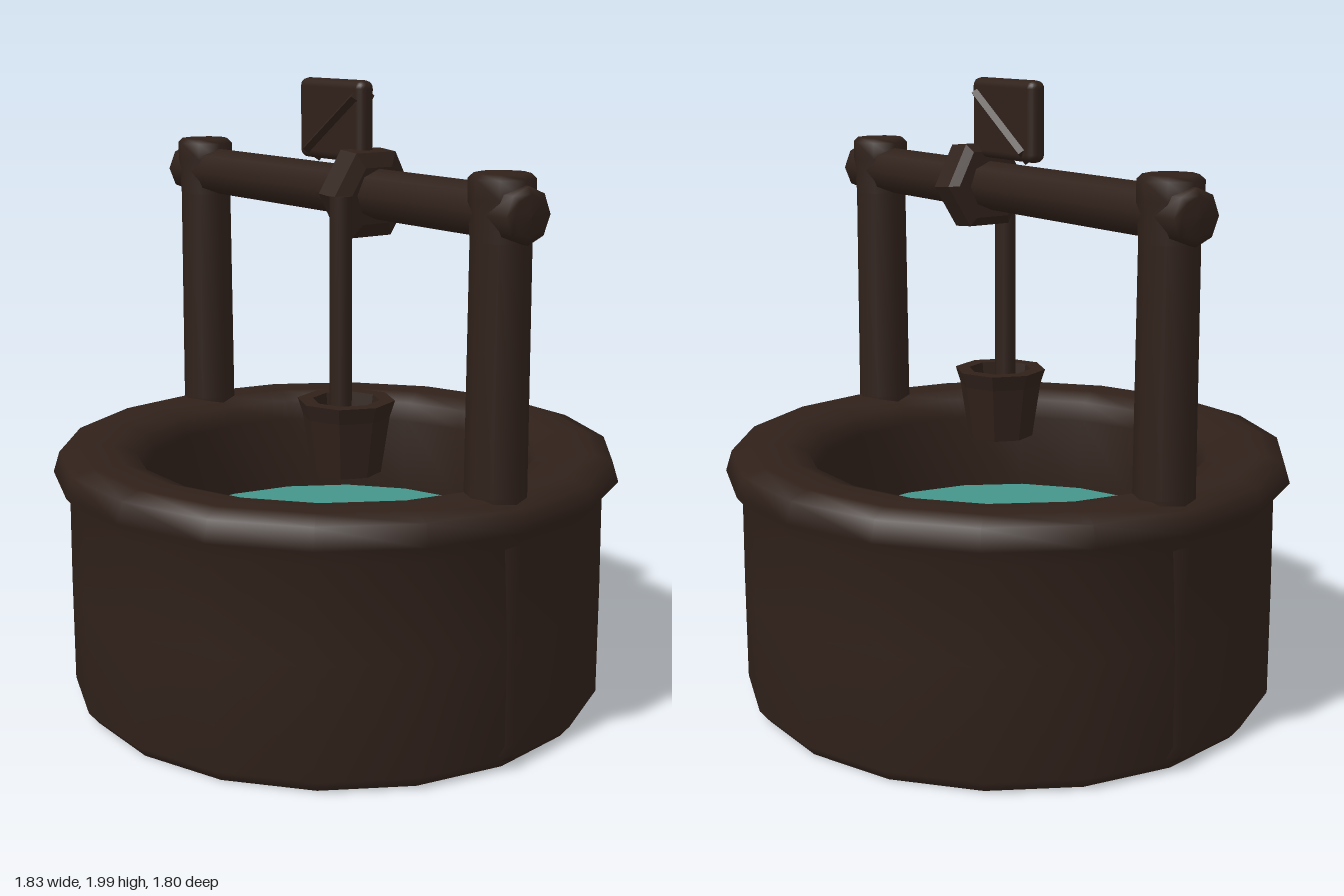
import * as THREE from 'three';
import { RoundedBoxGeometry } from 'three/addons/geometries/RoundedBoxGeometry.js';

const wood = new THREE.MeshStandardMaterial({ color: 0x30211a });
const facetedWood = new THREE.MeshStandardMaterial({ color: 0x30211a, flatShading: true });
const lining = new THREE.MeshStandardMaterial({ color: 0xdcc49c, side: THREE.DoubleSide });
const bucketFloorMat = new THREE.MeshStandardMaterial({ color: 0xa8784a, side: THREE.DoubleSide });
const waterMat = new THREE.MeshStandardMaterial({ color: 0x44958b, side: THREE.DoubleSide });

const SIDES = 18;
const toPoints = (list) => list.map(([r, y]) => new THREE.Vector2(r, y));
const turned = (list, sides, start = 0) => new THREE.LatheGeometry(toPoints(list), sides, start);

function add(parent, name, geometry, material, x = 0, y = 0, z = 0) {
  const mesh = new THREE.Mesh(geometry, material);
  mesh.name = name;
  mesh.position.set(x, y, z);
  parent.add(mesh);
  return mesh;
}

export function createModel() {
  const model = new THREE.Group();
  model.name = 'well';

  // Ring wall: outer skin, bulging rim and inner shaft
  add(model, 'ringWall', turned([
    [0.835, 0.01], [0.868, 0.05], [0.868, 0.4], [0.865, 0.7],
    [0.915, 0.76], [0.895, 0.825], [0.83, 0.845], [0.73, 0.845],
    [0.655, 0.82], [0.625, 0.76], [0.625, 0.5], [0.645, 0.18],
  ], SIDES, Math.PI / SIDES), wood);

  // Pale lining of the hollow between shaft and outer skin, open below
  add(model, 'wallLining', turned([
    [0.645, 0.18], [0.635, 0.5], [0.64, 0.74], [0.85, 0.74], [0.86, 0.4], [0.86, 0.05], [0.835, 0.01],
  ], SIDES, Math.PI / SIDES), lining);

  // Water surface
  const water = new THREE.CircleGeometry(0.628, SIDES).rotateX(-Math.PI / 2);
  add(model, 'water', water, waterMat, 0, 0.505, 0);

  // Two posts, running down through the wall to a slightly flared foot
  const post = turned([
    [0, 0.04], [0.085, 0.04], [0.097, 0.06], [0.092, 0.09], [0.092, 0.85],
    [0.088, 1.58], [0.096, 1.7], [0.096, 1.755], [0.08, 1.77], [0, 1.77],
  ], 8);
  for (const side of [1, -1]) {
    add(model, side > 0 ? 'leftPost' : 'rightPost', post, wood, side * 0.78, 0, 0);
  }

  // Cross beam with blunt ends
  const beam = turned([
    [0, -0.905], [0.06, -0.9], [0.082, -0.89], [0.082, -0.8], [0.078, -0.7],
    [0.078, 0.7], [0.082, 0.8], [0.082, 0.89], [0.06, 0.9], [0, 0.905],
  ], 8).rotateZ(Math.PI / 2);
  add(model, 'crossBeam', beam, wood, 0, 1.66, 0);

  // Six-sided chamfered collar the rope is wound on
  const collar = turned([
    [0, -0.06], [0.1, -0.06], [0.15, -0.04], [0.15, 0.04], [0.12, 0.06], [0, 0.06],
  ], 6).rotateZ(Math.PI / 2 - 0.08);
  add(model, 'ropeCollar', collar, facetedWood, 0.155, 1.66, 0);

  // Plate on top of the beam with a diagonal ridge
  const plate = new THREE.Group();
  plate.name = 'topPlate';
  plate.position.set(0, 1.875, 0);
  add(plate, 'plateBoard', new RoundedBoxGeometry(0.33, 0.25, 0.06, 2, 0.025), wood);
  const ridge = new THREE.CylinderGeometry(0.045, 0.045, 0.31, 4);
  add(plate, 'plateRidge', ridge, facetedWood, 0.01, -0.01, 0).rotation.z = -0.97;
  model.add(plate);

  // Rope
  const rope = new THREE.CylinderGeometry(0.035, 0.035, 0.8, 8);
  add(model, 'rope', rope, wood, 0.19, 1.26, 0.122);

  // Hollow tapered bucket
  const bucket = new THREE.Group();
  bucket.name = 'bucket';
  bucket.position.set(0.2, 0, 0.108);
  add(bucket, 'bucketShell', turned([
    [0, 0.8], [0.11, 0.8], [0.137, 0.98], [0.153, 1.03], [0.105, 1.03], [0.085, 0.88],
  ], 8), facetedWood);
  const floor = new THREE.CircleGeometry(0.087, 8).rotateX(-Math.PI / 2);
  add(bucket, 'bucketFloor', floor, bucketFloorMat, 0, 0.89, 0);
  model.add(bucket);

  return model;
}
